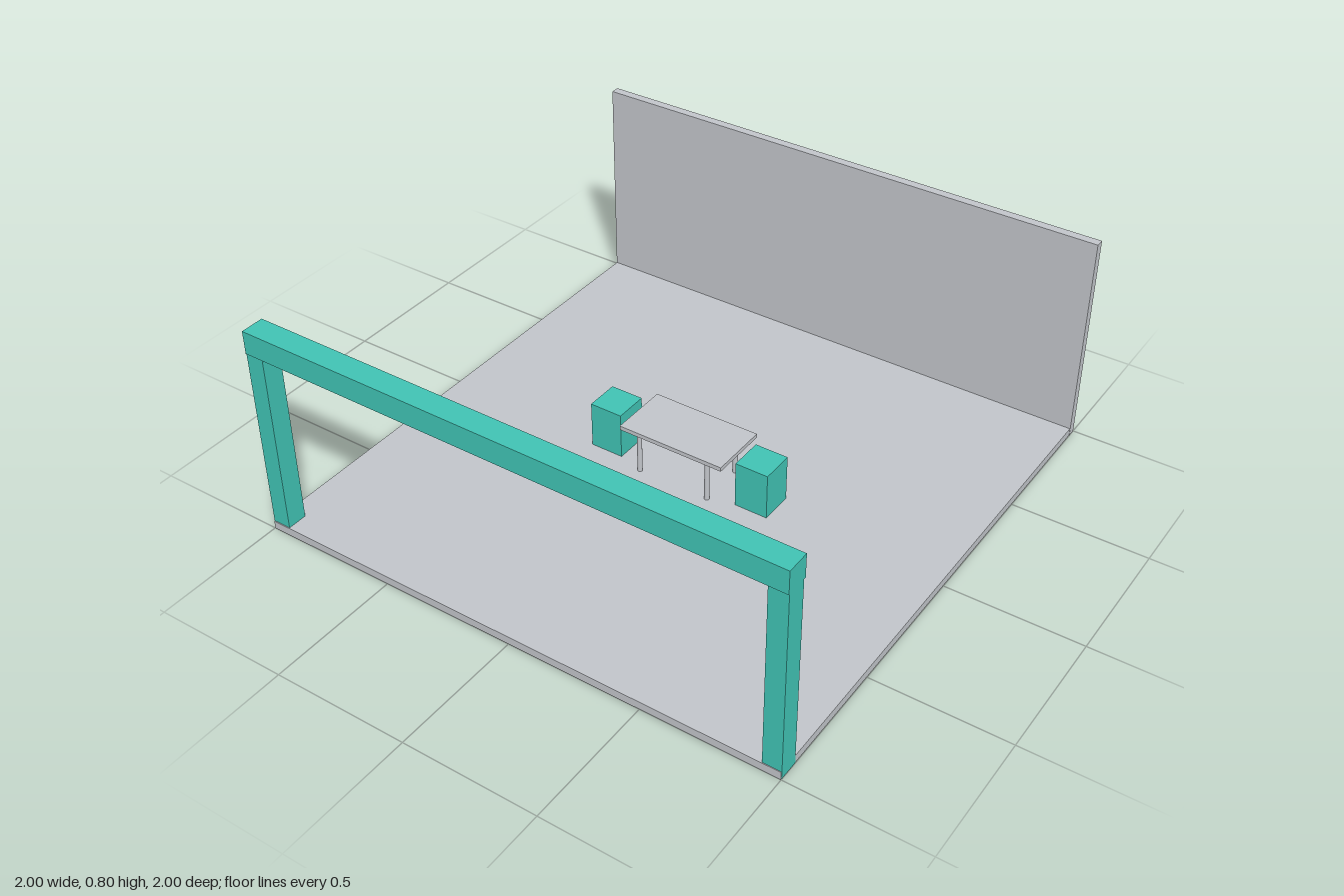
import * as THREE from 'three';

export function createModel() {
  const model = new THREE.Group();
  model.name = 'room';
  const grey = new THREE.MeshStandardMaterial({ name: 'light grey', color: 0xc1c4c9 });
  const teal = new THREE.MeshStandardMaterial({ name: 'teal', color: 0x40c2b3 });

  // Box given by its lower and upper corners
  function box(name, material, [x0, y0, z0], [x1, y1, z1], parent = model) {
    const mesh = new THREE.Mesh(new THREE.BoxGeometry(x1 - x0, y1 - y0, z1 - z0), material);
    mesh.position.set((x0 + x1) / 2, (y0 + y1) / 2, (z0 + z1) / 2);
    mesh.name = name;
    parent.add(mesh);
  }

  // Floor slab and back wall
  box('floor', grey, [-0.999, 0, -0.967], [0.999, 0.03, 1]);
  box('backWall', grey, [-1, 0, -1], [1, 0.8, -0.967]);

  // Front portal frame: two posts and a slightly deeper beam
  const frame = new THREE.Group();
  frame.name = 'frontFrame';
  model.add(frame);
  box('rightPost', teal, [-1, 0.001, 0.922], [-0.932, 0.715, 0.997], frame);
  box('leftPost', teal, [0.932, 0.001, 0.922], [1, 0.715, 0.997], frame);
  box('beam', teal, [-1, 0.715, 0.914], [1, 0.8, 1], frame);

  // Table with four slim round legs
  const table = new THREE.Group();
  table.name = 'table';
  model.add(table);
  box('tableTop', grey, [-0.208, 0.19, -0.117], [0.206, 0.206, 0.108], table);
  const legGeometry = new THREE.CylinderGeometry(0.009, 0.009, 0.16, 16);
  for (const x of [-0.14, 0.138]) {
    for (const z of [-0.09, 0.088]) {
      const leg = new THREE.Mesh(legGeometry, grey);
      leg.position.set(x, 0.11, z);
      leg.name = 'tableLeg';
      table.add(leg);
    }
  }

  // Block seats at either end of the table
  for (const x of [-0.301, 0.298]) {
    box('seat', teal, [x - 0.063, 0.03, -0.065], [x + 0.063, 0.207, 0.062]);
  }
  return model;
}
